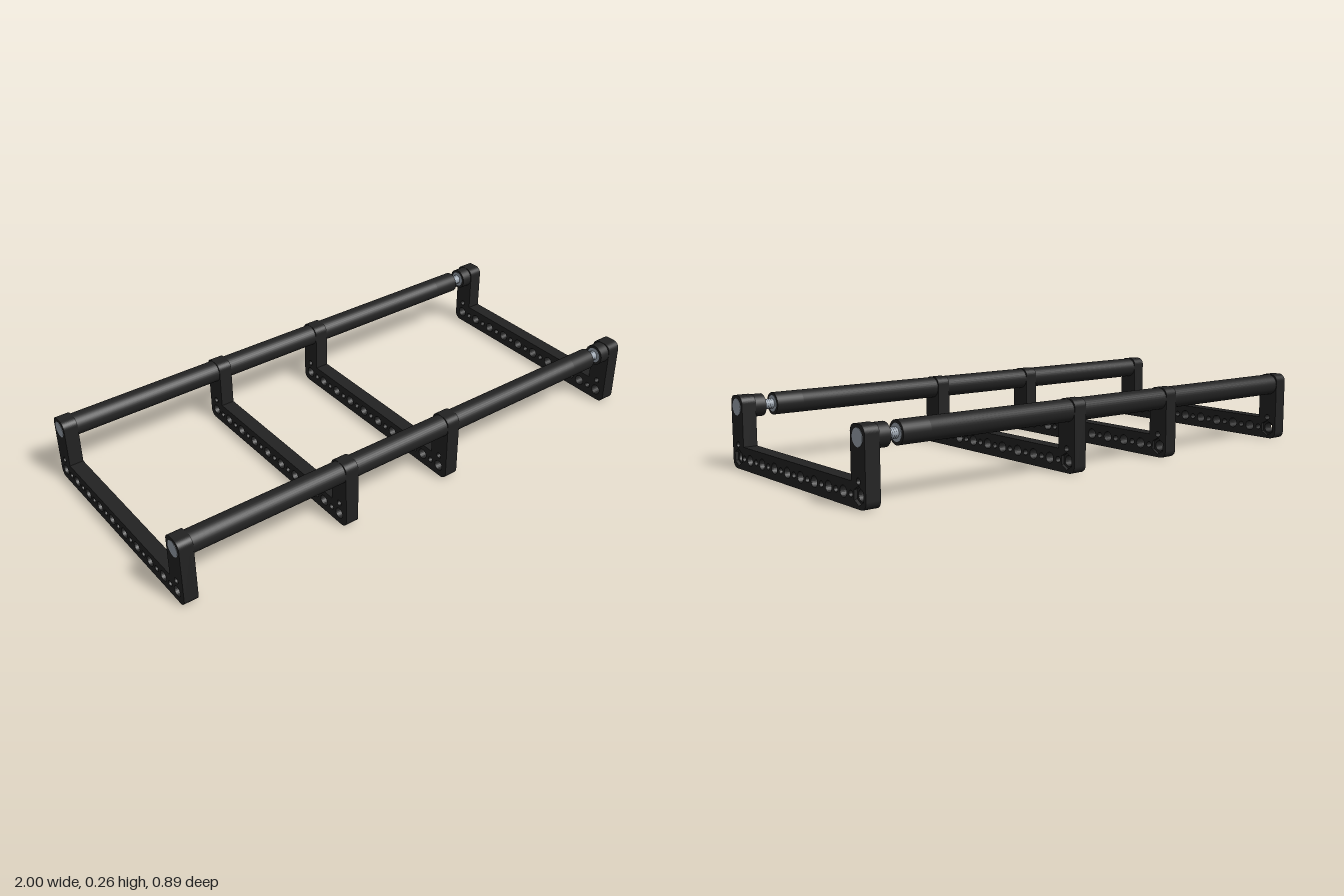
import * as THREE from 'three';

const RAIL_Y = 0.222, RAIL_Z = 0.403, HOLE_Y = 0.042;

// U-shaped bracket outline with its row of holes; hexCorners widens the corner holes into nut pockets
function bracketShape(hexCorners) {
  const W = 0.444, H = 0.263, B = 0.083, I = W - 0.083, r = 0.027;
  const s = new THREE.Shape();
  s.moveTo(-W + r, 0);
  s.lineTo(W - r, 0);
  s.absarc(W - r, r, r, -Math.PI / 2, 0);
  s.lineTo(W, H - r);
  s.absarc(W - r, H - r, r, 0, Math.PI / 2);
  s.lineTo(I + r, H);
  s.absarc(I + r, H - r, r, Math.PI / 2, Math.PI);
  s.lineTo(I, B);
  s.lineTo(-I, B);
  s.lineTo(-I, H - r);
  s.absarc(-I - r, H - r, r, 0, Math.PI / 2);
  s.lineTo(-W + r, H);
  s.absarc(-W + r, H - r, r, Math.PI / 2, Math.PI);
  s.lineTo(-W, r);
  s.absarc(-W + r, r, r, Math.PI, Math.PI * 1.5);

  const hole = (x, y, radius, sides = 24) => {
    const pts = [];
    for (let i = 0; i < sides; i++) {
      const a = -(i + 0.5) / sides * Math.PI * 2;
      pts.push(new THREE.Vector2(x + radius * Math.cos(a), y + radius * Math.sin(a)));
    }
    s.holes.push(new THREE.Path(pts));
  };
  const step = RAIL_Z / 9;
  for (let i = -9; i <= 9; i++) {
    if (Math.abs(i) === 9 && hexCorners) hole(i * step, HOLE_Y, 0.031, 6);
    else hole(i * step, HOLE_Y, i % 2 ? 0.0195 : 0.011);
  }
  for (const side of [-1, 1]) hole(side * RAIL_Z, 0.087, 0.011);
  return s;
}

function plate(shape, x0, x1) {
  const g = new THREE.ExtrudeGeometry(shape, { depth: x1 - x0, bevelEnabled: false, curveSegments: 8 });
  g.rotateY(Math.PI / 2);
  g.translate(x0, 0, 0);
  return g;
}

export function createModel() {
  const model = new THREE.Group();
  const black = new THREE.MeshStandardMaterial({ color: 0x222222 });
  black.name = 'black plastic';
  const silver = new THREE.MeshStandardMaterial({ color: 0x9aa3ad });
  silver.name = 'silver metal';

  const add = (parent, name, geometry, material) => {
    const m = new THREE.Mesh(geometry, material);
    m.name = name;
    parent.add(m);
    return m;
  };

  // Four cross brackets, each with nut pockets on one face
  const pocket = 0.012;
  const full = bracketShape(false), pocketed = bracketShape(true);
  [[-0.999, -0.946], [-0.352, -0.3], [0.104, 0.157], [0.946, 0.999]].forEach(([x0, x1], i) => {
    const bracket = new THREE.Group();
    bracket.name = 'bracket' + (i + 1);
    add(bracket, 'bracketBody', plate(full, x0, x1 - pocket), black);
    add(bracket, 'nutPocketLayer', plate(pocketed, x1 - pocket, x1), black);
    model.add(bracket);
  });

  const rod = (x0, x1, radius) => {
    const g = new THREE.CylinderGeometry(radius, radius, x1 - x0, 36);
    g.rotateZ(-Math.PI / 2);
    g.translate((x0 + x1) / 2, 0, 0);
    return g;
  };

  // Threaded section showing in the gap
  const profile = [];
  for (let i = 0; i <= 16; i++) profile.push(new THREE.Vector2(i % 2 ? 0.019 : 0.015, i / 16 * 0.06));
  const thread = new THREE.LatheGeometry(profile, 24);
  thread.rotateZ(-Math.PI / 2);
  thread.translate(0.852, 0, 0);
  silver.side = THREE.DoubleSide;

  // Two side rails: sleeves over a metal core
  for (const side of [-1, 1]) {
    const rail = new THREE.Group();
    rail.name = side > 0 ? 'frontRail' : 'backRail';
    rail.position.set(0, RAIL_Y, side * RAIL_Z);
    add(rail, 'longSleeve', rod(-0.946, 0.755, 0.0405), black);
    add(rail, 'endSleeve', rod(0.755, 0.86, 0.0405), black);
    add(rail, 'endCollar', rod(0.904, 0.946, 0.0405), black);
    add(rail, 'longCore', rod(-1, 0.861, 0.03), silver);
    add(rail, 'endCore', rod(0.903, 1, 0.03), silver);
    add(rail, 'thread', thread, silver);
    model.add(rail);
  }
  return model;
}
